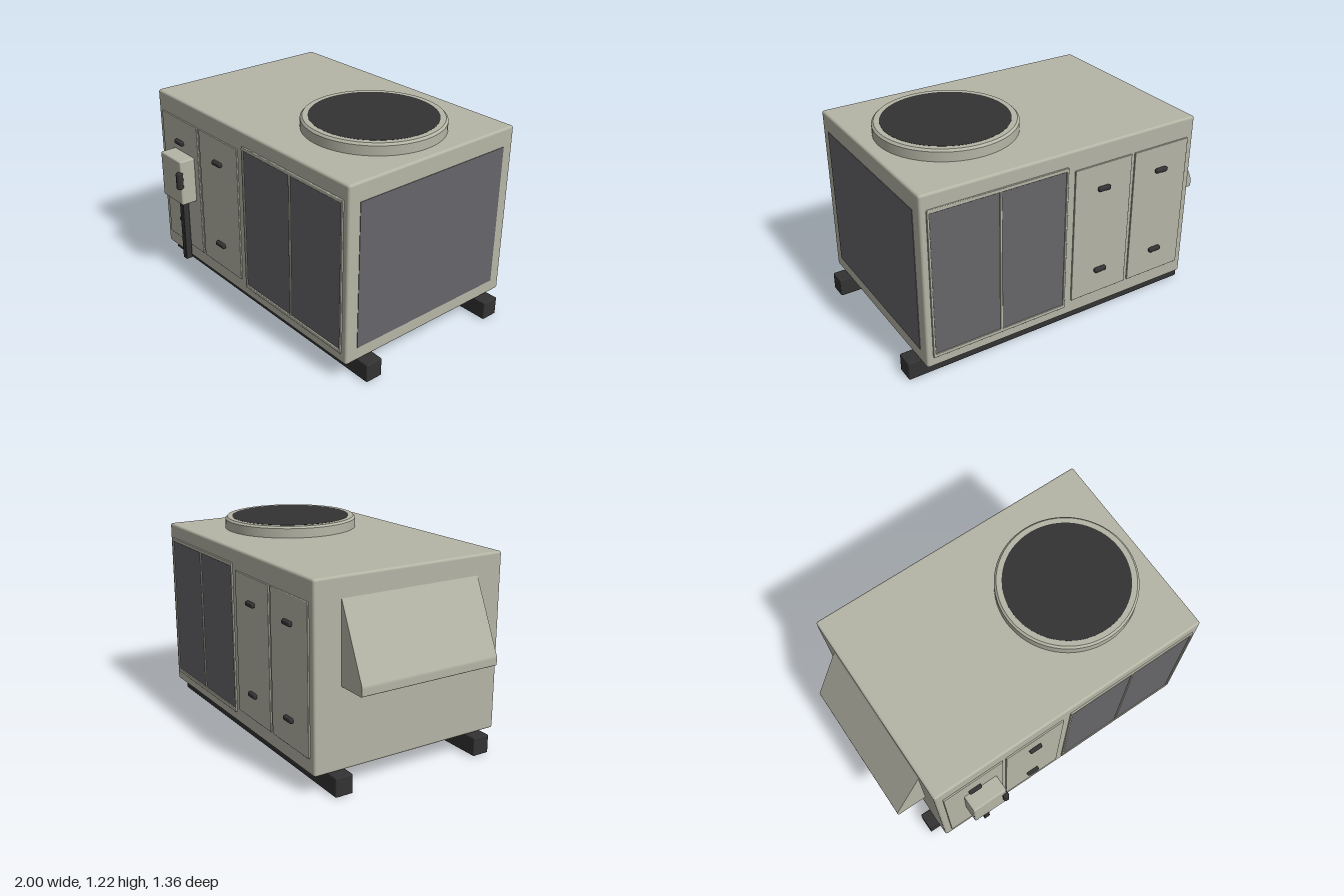
import * as THREE from 'three';
import { RoundedBoxGeometry } from 'three/addons/geometries/RoundedBoxGeometry.js';

const material = (name, color) => {
  const m = new THREE.MeshStandardMaterial({ color });
  m.name = name;
  return m;
};

export function createModel() {
  const model = new THREE.Group();
  const paint = material('casing paint', 0xb5b5a6);
  const coil = material('coil grey', 0x66666a);
  const black = material('black', 0x333333);

  function add(parent, name, geometry, mat) {
    const mesh = new THREE.Mesh(geometry, mat);
    mesh.name = name;
    parent.add(mesh);
    return mesh;
  }
  // Box given by its limits on each axis; a radius softens the edges.
  function box(parent, name, mat, [x0, x1], [y0, y1], [z0, z1], radius = 0) {
    const size = [x1 - x0, y1 - y0, z1 - z0];
    const geometry = radius ? new RoundedBoxGeometry(...size, 2, radius) : new THREE.BoxGeometry(...size);
    const mesh = add(parent, name, geometry, mat);
    mesh.position.set((x0 + x1) / 2, (y0 + y1) / 2, (z0 + z1) / 2);
    return mesh;
  }

  // Casing and the two skids beneath it
  box(model, 'casing', paint, [-0.815, 0.93], [0.11, 1.15], [-0.65, 0.55], 0.014);
  for (const z of [0.41, -0.51]) box(model, 'skid', black, [-0.88, 1], [0, 0.11], [z - 0.053, z + 0.053], 0.007);

  // End coil
  box(model, 'endCoil', coil, [0.925, 0.933], [0.19, 1.043], [-0.575, 0.475]);

  // Doors, handles and framed coils, the same on both long sides
  for (const side of [1, -1]) {
    const group = new THREE.Group();
    group.name = side > 0 ? 'frontPanels' : 'backPanels';
    group.position.z = side > 0 ? 0.55 : -0.65;
    const across = (a, b) => (side > 0 ? [a, b] : [-b, -a]);

    for (const [x0, x1, handleX] of [[-0.772, -0.392, -0.582], [-0.37, 0.01, -0.18]]) {
      box(group, 'door', paint, [x0, x1], [0.2, 1.03], across(-0.01, 0.009), 0.004);
      for (const y of [0.355, 0.88]) {
        box(group, 'doorHandle', black, [handleX - 0.04, handleX + 0.04], [y - 0.014, y + 0.014], across(0, 0.03), 0.01);
      }
    }
    for (const [x0, x1] of [[0.066, 0.474], [0.474, 0.882]]) {
      box(group, 'sideCoil', coil, [x0, x1], [0.19, 1.045], across(-0.004, 0.004));
    }
    for (const y of [0.181, 1.053]) {
      box(group, 'frameRail', paint, [0.055, 0.893], [y - 0.011, y + 0.011], across(-0.01, 0.01), 0.004);
    }
    for (const x of [0.061, 0.474, 0.887]) {
      box(group, 'framePost', paint, [x - 0.007, x + 0.007], [0.18, 1.055], across(-0.01, 0.01), 0.004);
    }
    model.add(group);
  }

  // Fan collar with chamfered rim and dark grille
  const collar = [[0.402, 1.14], [0.402, 1.205], [0.402, 1.205], [0.39, 1.217], [0.39, 1.217], [0.357, 1.217], [0.357, 1.217], [0.357, 1.14]];
  const fan = new THREE.Group();
  fan.name = 'fan';
  fan.position.set(0.45, 0, -0.05);
  add(fan, 'fanCollar', new THREE.LatheGeometry(collar.map(([r, y]) => new THREE.Vector2(r, y)), 64), paint);
  const grille = add(fan, 'fanGrille', new THREE.CylinderGeometry(0.359, 0.359, 0.008, 64), black);
  grille.position.y = 1.214;
  model.add(fan);

  // Sloping intake hood on the right end
  const profile = new THREE.Shape();
  profile.moveTo(-0.81, 1.045);
  profile.lineTo(-0.998, 0.63);
  profile.quadraticCurveTo(-1, 0.625, -1, 0.615);
  profile.lineTo(-1, 0.585);
  profile.quadraticCurveTo(-1, 0.575, -0.99, 0.575);
  profile.lineTo(-0.81, 0.575);
  profile.closePath();
  const hood = add(model, 'intakeHood', new THREE.ExtrudeGeometry(profile, { depth: 0.87, bevelEnabled: false, curveSegments: 4 }), paint);
  hood.position.z = -0.488;

  // Control box with its handle and conduit
  box(model, 'controlBox', paint, [-0.652, -0.436], [0.54, 0.825], [0.545, 0.657], 0.01);
  box(model, 'controlHandle', black, [-0.463, -0.429], [0.648, 0.758], [0.64, 0.68], 0.012);
  box(model, 'conduit', black, [-0.563, -0.524], [0.112, 0.545], [0.562, 0.604], 0.004);

  return model;
}
